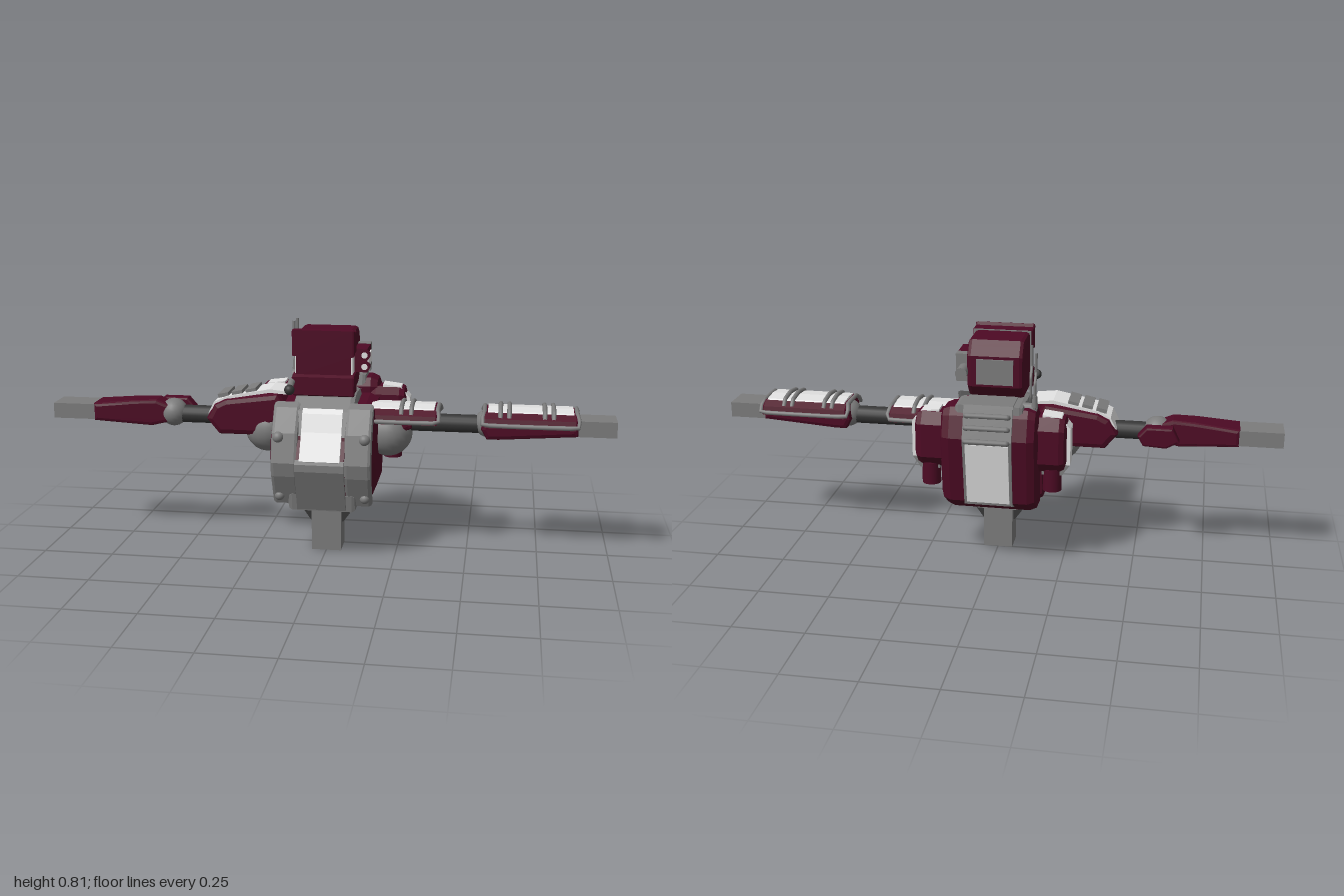
import * as THREE from 'three';

const mat = (name, color) => {
  const m = new THREE.MeshStandardMaterial({ color });
  m.name = name;
  return m;
};

export function createModel() {
  const root = new THREE.Group();
  const red = mat('burgundy', 0x4d0a24), grey = mat('grey', 0x7c7c7c);
  const white = mat('white', 0xe2e2e2), dark = mat('dark grey', 0x363636);

  const add = (name, geo, m) => {
    const mesh = new THREE.Mesh(geo, m);
    mesh.name = name;
    root.add(mesh);
    return mesh;
  };
  // Box given by its limits
  const box = (name, m, x0, x1, y0, y1, z0, z1) => {
    const b = add(name, new THREE.BoxGeometry(Math.abs(x1 - x0), y1 - y0, z1 - z0), m);
    b.position.set((x0 + x1) / 2, (y0 + y1) / 2, (z0 + z1) / 2);
    return b;
  };
  const extrude = (pts, depth, bevel) => new THREE.ExtrudeGeometry(
    new THREE.Shape(pts.map(p => new THREE.Vector2(...p))), {
      depth: depth - 2 * bevel, bevelEnabled: bevel > 0, bevelSize: bevel,
      bevelThickness: bevel, bevelOffset: -bevel, bevelSegments: 2,
    }).translate(0, 0, bevel);
  // Side outline of [z, y] points, extruded from x0 to x1
  const side = (name, m, pts, x0, x1, bevel = 0) => add(name,
    extrude(pts.map(([z, y]) => [-z, y]), x1 - x0, bevel).rotateY(Math.PI / 2).translate(x0, 0, 0), m);
  // Front outline of [x, y] points, extruded from z0 to z1
  const front = (name, m, pts, z0, z1, bevel = 0) =>
    add(name, extrude(pts, z1 - z0, bevel).translate(0, 0, z0), m);
  const tube = (name, m, pts, r, closed = false) => {
    const v = pts.map(p => new THREE.Vector3(...p));
    return add(name, new THREE.TubeGeometry(
      new THREE.CatmullRomCurve3(v, closed, 'catmullrom', 0.15), 40, r, 8, closed), m);
  };
  const ball = (name, m, x, y, z, r) =>
    add(name, new THREE.SphereGeometry(r, 20, 14), m).position.set(x, y, z);
  const rodX = (name, m, x0, x1, y, z, r) => {
    const c = add(name, new THREE.CylinderGeometry(r, r, x1 - x0, 16), m);
    c.rotation.z = Math.PI / 2;
    c.position.set((x0 + x1) / 2, y, z);
  };

  // Waist post and hip struts
  box('waistPost', grey, -0.053, 0.053, 0, 0.16, -0.003, 0.09);
  side('waistCollar', grey, [[-0.015, 0.155], [0.1, 0.155], [0.1, 0.21], [-0.015, 0.21]], -0.075, 0.075);
  for (const s of [-1, 1])
    front('hipStrut', dark, [[0.045 * s, 0.1], [0.058 * s, 0.1], [0.115 * s, 0.18], [0.115 * s, 0.22],
      [0.045 * s, 0.22]], 0.025, 0.062);

  // Torso
  side('torso', red, [[0.2, 0.45], [0.13, 0.54], [-0.05, 0.555], [-0.09, 0.5], [-0.095, 0.25], [-0.06, 0.22],
    [0.15, 0.22], [0.2, 0.3], [0.225, 0.36]], -0.185, 0.185, 0.045);
  side('torsoBase', grey, [[0.19, 0.18], [0.2, 0.24], [-0.07, 0.24], [-0.055, 0.21], [0, 0.19]], -0.12, 0.12, 0.015);
  side('collar', grey, [[0.2, 0.45], [0.16, 0.53], [0.11, 0.57], [0.06, 0.583], [-0.04, 0.578], [-0.065, 0.55],
    [-0.06, 0.45]], -0.11, 0.11, 0.02);
  // Raised front centre with its panels
  side('chestCore', red, [[0.19, 0.46], [0.25, 0.36], [0.197, 0.195], [0.12, 0.195], [0.1, 0.5]], -0.083, 0.083);
  side('chestLower', grey, [[0.247, 0.378], [0.262, 0.365], [0.262, 0.34], [0.204, 0.188], [0.19, 0.188],
    [0.245, 0.34]], -0.085, 0.085);
  side('chestUpper', white, [[0.16, 0.54], [0.178, 0.525], [0.203, 0.465], [0.255, 0.375], [0.247, 0.368],
    [0.195, 0.455], [0.168, 0.52]], -0.07, 0.07);
  for (const s of [-1, 1]) {
    const [a, b] = s > 0 ? [0.08, 0.175] : [-0.175, -0.08];
    side('chestPillar', grey, [[0.13, 0.555], [0.155, 0.54], [0.207, 0.46], [0.235, 0.36], [0.226, 0.31],
      [0.178, 0.2], [0.15, 0.2], [0.195, 0.31], [0.2, 0.36], [0.18, 0.44]], a, b, 0.012);
    ball('chestKnob', grey, 0.15 * s, 0.445, 0.205, 0.02);
    ball('chestKnob', grey, 0.15 * s, 0.23, 0.185, 0.018);
    ball('shoulderBall', grey, 0.215 * s, 0.435, 0.035, 0.085);
  }

  // Head
  box('neck', grey, -0.07, 0.07, 0.56, 0.6, -0.015, 0.1);
  side('head', red, [[0.1, 0.59], [0.1, 0.8], [-0.035, 0.8], [-0.05, 0.78], [-0.072, 0.75], [-0.072, 0.64],
    [-0.04, 0.6], [-0.02, 0.59]], -0.1, 0.1, 0.015);
  box('headSeam', grey, -0.103, 0.103, 0.586, 0.803, 0.09, 0.096);
  box('visor', white, -0.1, 0.1, 0.655, 0.74, 0.09, 0.146);
  side('browBlock', red, [[0.096, 0.705], [0.135, 0.705], [0.163, 0.722], [0.163, 0.812], [0.15, 0.815],
    [0.145, 0.804], [0.096, 0.804]].map(([z, y]) => [z, y < 0.72 ? y + 0.025 : y]), -0.108, 0.108, 0.006);
  side('jawBlock', red, [[0.096, 0.66], [0.145, 0.66], [0.163, 0.65], [0.163, 0.588], [0.15, 0.582],
    [0.145, 0.59], [0.096, 0.59]], -0.108, 0.108, 0.006);
  box('faceCover', red, -0.095, 0.095, 0.65, 0.72, 0.14, 0.15);
  // Rear head panel
  box('headBackPanel', grey, -0.065, 0.065, 0.65, 0.74, -0.079, -0.07);
  // Twin-lens pod on the left of the head
  box('cameraBracket', grey, 0.09, 0.145, 0.645, 0.745, -0.034, 0.002);
  box('cameraHood', red, 0.095, 0.145, 0.66, 0.742, 0, 0.1);
  box('cameraStripe', white, 0.143, 0.149, 0.68, 0.722, 0.002, 0.1);
  const plug = add('cameraPlug', new THREE.CylinderGeometry(0.021, 0.021, 0.07, 16), grey);
  plug.rotation.x = Math.PI / 2;
  plug.position.set(0.115, 0.69, -0.06);
  for (const y of [0.681, 0.721]) {
    const lens = add('cameraRing', new THREE.CylinderGeometry(0.019, 0.019, 0.02, 16), red);
    lens.rotation.x = Math.PI / 2;
    lens.position.set(0.136, y, 0.1);
    const glass = add('cameraGlass', new THREE.CircleGeometry(0.011, 16), white);
    glass.position.set(0.136, y, 0.111);
  }
  // Breathing pipe
  tube('mouthPipe', grey, [[-0.09, 0.64, 0.12], [-0.11, 0.63, 0.165], [-0.11, 0.615, 0.195]], 0.012);
  ball('mouthPipeEnd', dark, -0.11, 0.612, 0.2, 0.018);

  // Backpack
  side('backpack', red, [[-0.08, 0.57], [-0.1, 0.6], [-0.185, 0.6], [-0.205, 0.575], [-0.232, 0.5], [-0.2, 0.26],
    [-0.12, 0.205], [-0.09, 0.22]], -0.17, 0.17, 0.035);
  side('backpackSpine', grey, [[-0.08, 0.58], [-0.09, 0.616], [-0.2, 0.616], [-0.21, 0.59], [-0.242, 0.5],
    [-0.203, 0.25], [-0.12, 0.215], [-0.085, 0.3]], -0.085, 0.085);
  side('backpackPanel', white, [[-0.235, 0.485], [-0.2, 0.26], [-0.207, 0.26], [-0.243, 0.485]], -0.075, 0.075);
  side('backpackTop', grey, [[-0.08, 0.56], [-0.09, 0.612], [-0.195, 0.612], [-0.2, 0.56]], -0.12, 0.12, 0.015);
  for (const [y, z] of [[0.58, -0.215], [0.54, -0.228], [0.495, -0.24]])
    tube('backRail', grey, [[-0.07, y, z], [-0.07, y + 0.008, z - 0.018], [0.07, y + 0.008, z - 0.018],
      [0.07, y, z]], 0.009);
  // Side pods of the backpack
  for (const s of [-1, 1]) {
    const px = (a, b) => s > 0 ? [a, b] : [-b, -a];
    side('podBody', red, [[-0.065, 0.545], [-0.095, 0.57], [-0.16, 0.57], [-0.19, 0.53], [-0.19, 0.41],
      [-0.155, 0.37], [-0.09, 0.37], [-0.065, 0.4]], ...px(0.13, 0.265), 0.025);
    front('podPanel', white, [[0.18, 0.578], [0.245, 0.57], [0.278, 0.53], [0.278, 0.4], [0.18, 0.4]]
      .map(([x, y]) => [x * s, y]), -0.157, -0.093);
    front('podLower', grey, [[0.18, 0.4], [0.278, 0.4], [0.25, 0.36], [0.18, 0.36]]
      .map(([x, y]) => [x * s, y]), -0.157, -0.093);
    const nozzle = add('podNozzle', new THREE.CylinderGeometry(0.033, 0.033, 0.08, 20), red);
    nozzle.position.set(0.215 * s, 0.34, -0.138);
  }
  // Antennas
  tube('antenna', grey, [[-0.135, 0.6, -0.11], [-0.135, 0.63, -0.127], [-0.135, 0.7, -0.13],
    [-0.135, 0.735, -0.107], [-0.135, 0.81, -0.107]], 0.005);
  tube('antenna', grey, [[-0.155, 0.6, -0.17], [-0.155, 0.69, -0.17], [-0.155, 0.725, -0.146],
    [-0.155, 0.793, -0.146]], 0.005);
  rodX('antennaMount', grey, -0.16, -0.11, 0.595, -0.14, 0.018);
  const foot = add('antennaFoot', new THREE.CylinderGeometry(0.008, 0.011, 0.04, 10), grey);
  foot.position.set(-0.155, 0.63, -0.17);

  // Arms: shared joints and hands
  for (const s of [-1, 1]) {
    rodX('upperArm', dark, s > 0 ? 0.2 : -0.56, s > 0 ? 0.56 : -0.2, 0.475, 0.035, 0.032);
    ball('elbow', grey, 0.565 * s, 0.48, 0.035, 0.05);
    box('hand', grey, 0.84 * s, s, 0.455, 0.51, -0.015, 0.09);
  }
  // Right arm
  front('rightShoulderPad', red, [[-0.43, 0.475], [-0.4, 0.53], [-0.36, 0.55], [-0.17, 0.575], [-0.12, 0.5],
    [-0.25, 0.42], [-0.385, 0.42]], -0.04, 0.11, 0.02);
  front('rightPadPanel', white, [[-0.425, 0.49], [-0.403, 0.535], [-0.36, 0.556], [-0.2, 0.588], [-0.13, 0.58],
    [-0.13, 0.57], [-0.2, 0.575], [-0.36, 0.547], [-0.395, 0.526]], -0.025, 0.095);
  for (const x of [-0.37, -0.32, -0.27]) {
    const rib = box('rightPadRib', grey, x - 0.019, x + 0.019, 0, 0.014, -0.02, 0.085);
    rib.position.y = 0.559 + (x + 0.37) * 0.19;
    rib.rotation.z = 0.22;
  }
  const fore = front('rightForearm', red, [[-0.85, 0.45], [-0.64, 0.435], [-0.575, 0.45], [-0.57, 0.51],
    [-0.62, 0.53], [-0.7, 0.527], [-0.85, 0.513]], -0.022, 0.094, 0.012);
  // Taper towards the elbow
  const fp = fore.geometry.attributes.position;
  for (let i = 0; i < fp.count; i++)
    fp.setZ(i, 0.035 + (fp.getZ(i) - 0.035) * (1 - 0.35 * Math.max(0, (fp.getX(i) + 0.85) / 0.28)));
  fore.geometry.computeVertexNormals();
  front('rightElbowGuard', red, [[-0.645, 0.47], [-0.6, 0.445], [-0.52, 0.45], [-0.5, 0.485], [-0.53, 0.52],
    [-0.62, 0.52]], -0.065, -0.02, 0.008);

  // Left arm: curved armour covers with white tops, rails and cross ribs
  front('leftShoulder', red, [[0.13, 0.4], [0.22, 0.42], [0.3, 0.46], [0.3, 0.51], [0.13, 0.51]], -0.02, 0.09, 0.015);
  front('leftForearm', red, [[0.56, 0.435], [0.6, 0.435], [0.87, 0.455], [0.87, 0.525], [0.55, 0.53],
    [0.54, 0.47]], -0.03, 0.105, 0.015);
  const cover = (name, x0, x1, ribs) => {
    side(name, red, [[-0.06, 0.485], [-0.052, 0.515], [-0.025, 0.532], [0.095, 0.532], [0.122, 0.515],
      [0.13, 0.485]], x0, x1, 0.006);
    side(name + 'Panel', white, [[-0.03, 0.526], [-0.022, 0.536], [0.035, 0.541], [0.092, 0.536], [0.1, 0.526]],
      x0 + 0.012, x1 - 0.012);
    tube(name + 'Rail', grey, [[x0, 0.53, -0.02], [x0, 0.495, -0.06], [x1, 0.495, -0.06], [x1, 0.53, -0.02],
      [x1, 0.53, 0.09], [x1, 0.495, 0.13], [x0, 0.495, 0.13], [x0, 0.53, 0.09]], 0.008, true);
    for (const x of ribs)
      tube(name + 'Rib', grey, [[x, 0.515, -0.045], [x, 0.538, -0.025], [x, 0.547, 0.035], [x, 0.538, 0.095],
        [x, 0.515, 0.115]], 0.008);
  };
  cover('leftShoulderCover', 0.13, 0.39, [0.265, 0.3]);
  cover('leftForearmCover', 0.55, 0.865, [0.605, 0.635, 0.755, 0.785]);

  return root;
}
